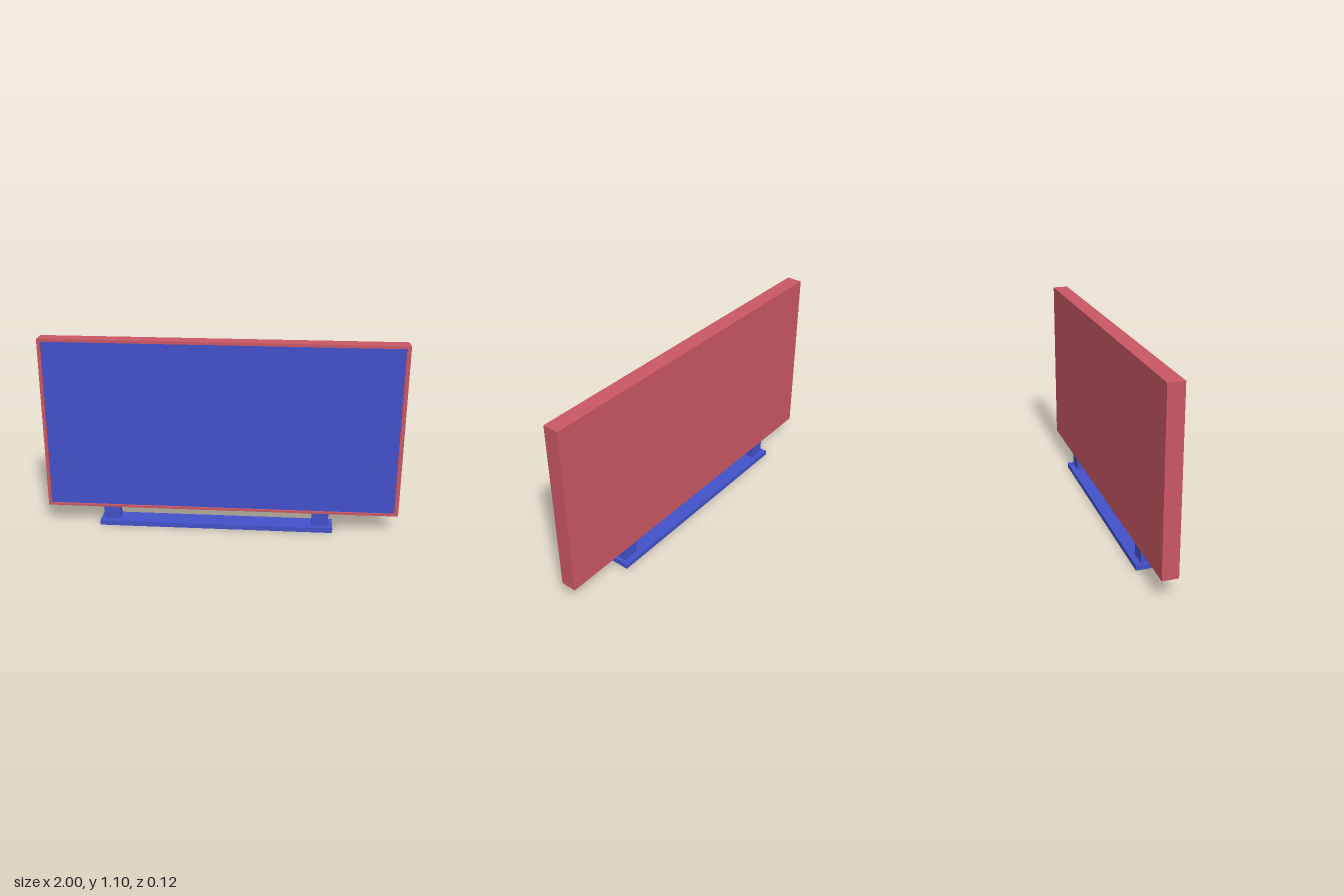
import * as THREE from 'three';

const red = new THREE.MeshStandardMaterial({ color: 0xc95763 });
const blue = new THREE.MeshStandardMaterial({ color: 0x4351c9 });

// Box given by its extents along each axis
function block(name, material, [x0, x1], [y0, y1], [z0, z1]) {
  const mesh = new THREE.Mesh(new THREE.BoxGeometry(x1 - x0, y1 - y0, z1 - z0), material);
  mesh.position.set((x0 + x1) / 2, (y0 + y1) / 2, (z0 + z1) / 2);
  mesh.name = name;
  return mesh;
}

function rectangle(path, [x0, x1], [y0, y1]) {
  return path.moveTo(x0, y0).lineTo(x1, y0).lineTo(x1, y1).lineTo(x0, y1).closePath();
}

export function createModel() {
  const model = new THREE.Group();
  model.name = 'television';

  const bodyX = [-1, 1], bodyY = [0.112, 1.097];
  const screenX = [-0.982, 0.977], screenY = [0.124, 1.082];
  const back = -0.039, rimBack = 0.02, front = 0.049;

  // Housing behind the screen
  model.add(block('housing', red, bodyX, bodyY, [back, rimBack]));

  // Thin bezel standing proud of the screen
  const outline = rectangle(new THREE.Shape(), bodyX, bodyY);
  outline.holes.push(rectangle(new THREE.Path(), screenX, screenY));
  const bezel = new THREE.Mesh(
    new THREE.ExtrudeGeometry(outline, { depth: front - rimBack, bevelEnabled: false }), red);
  bezel.position.z = rimBack;
  bezel.name = 'bezel';
  model.add(bezel);

  // Recessed screen
  model.add(block('screen', blue, screenX, screenY, [rimBack, front - 0.012]));

  // Stand: two posts on a long foot
  const foot = [0, 0.028];
  model.add(block('standBase', blue, [-0.7, 0.636], foot, [-0.061, 0.061]));
  for (const [name, x] of [['rightPost', [-0.682, -0.588]], ['leftPost', [0.518, 0.612]]]) {
    model.add(block(name, blue, x, [foot[1], bodyY[0]], [-0.029, 0.027]));
  }

  return model;
}
